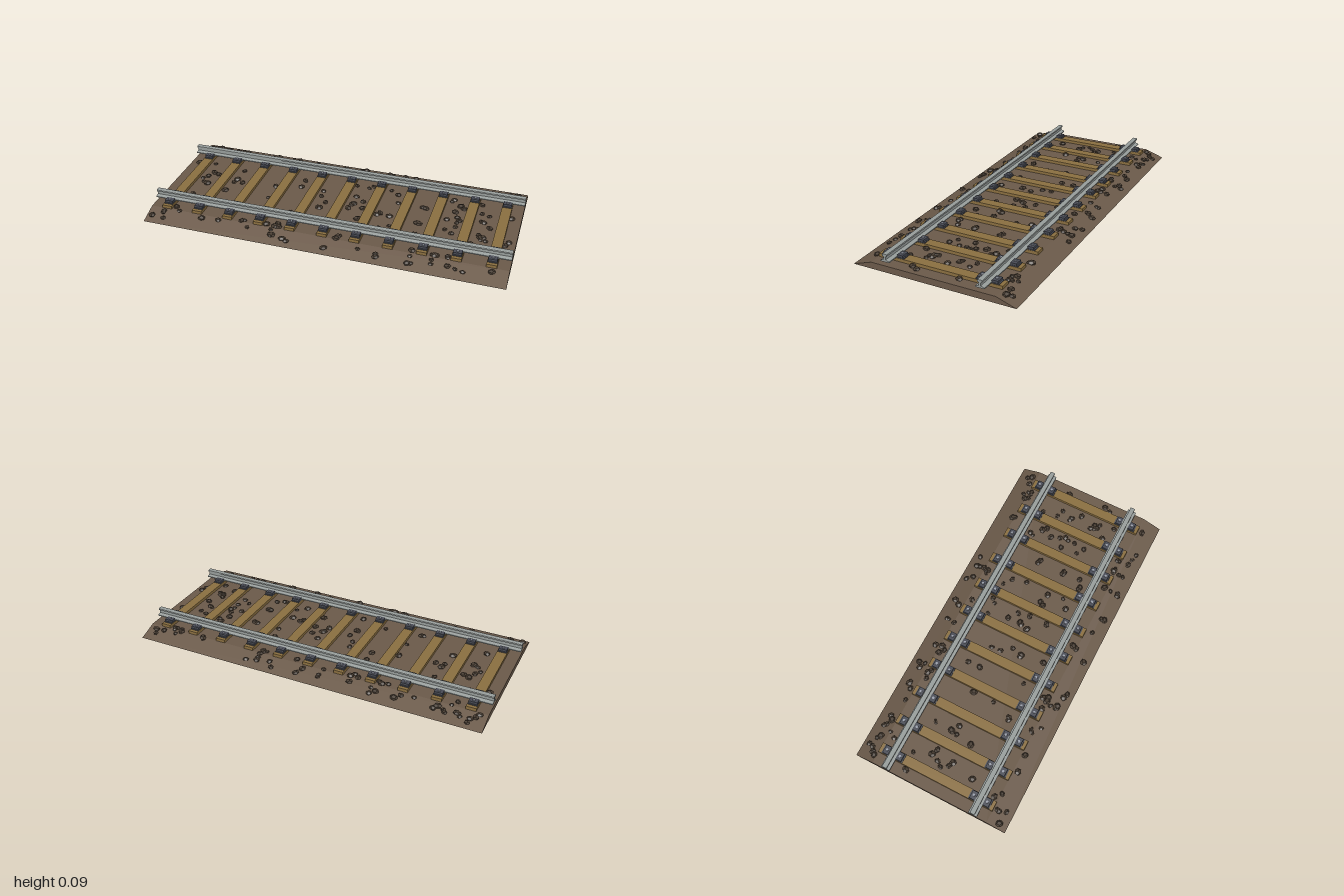
import * as THREE from 'three';
import { mergeGeometries } from 'three/addons/utils/BufferGeometryUtils.js';

const LENGTH = 1.825, BED_HALF = 0.413, TOP_HALF = 0.315, BED_TOP = 0.033;
const RAIL_X = 0.24, SLEEPERS = 11, PITCH = 0.1655;

function material(name, color) {
  const m = new THREE.MeshStandardMaterial({ color });
  m.name = name;
  return m;
}

// small seeded random generator
function seeded(seed) {
  return () => {
    seed = (seed * 1664525 + 1013904223) % 4294967296;
    return seed / 4294967296;
  };
}

// closed outline in x and y, extruded along z and centred
function extrudeProfile(points, length) {
  const shape = new THREE.Shape(points.map(([x, y]) => new THREE.Vector2(x, y)));
  const g = new THREE.ExtrudeGeometry(shape, { depth: length, bevelEnabled: false });
  return g.translate(0, 0, -length / 2);
}

export function createModel() {
  const bedMat = material('earth', 0x6b5a4a);
  const woodMat = material('wood', 0x8a6f40);
  const steelMat = material('railSteel', 0x979d9b);
  const ironMat = material('darkIron', 0x484b55);
  const boltMat = material('boltSteel', 0x9a9fab);
  const stoneMat = material('stone', 0x483d32);

  const model = new THREE.Group();
  const track = new THREE.Group();
  track.name = 'track';
  track.rotation.y = 0.4665;
  model.add(track);

  function add(parent, name, geometry, mat, x = 0, y = 0, z = 0) {
    const mesh = new THREE.Mesh(geometry, mat);
    mesh.name = name;
    mesh.position.set(x, y, z);
    parent.add(mesh);
    return mesh;
  }

  // ballast bed with sloping shoulders
  add(track, 'bed', extrudeProfile([
    [-BED_HALF, 0], [BED_HALF, 0], [TOP_HALF, BED_TOP], [-TOP_HALF, BED_TOP],
  ], LENGTH), bedMat);

  // rails: foot, web and head
  const half = [[0.023, 0], [0.023, 0.005], [0.005, 0.011], [0.005, 0.026], [0.012, 0.029], [0.012, 0.037], [0.009, 0.039]];
  const outline = [...half, ...half.map(([x, y]) => [-x, y]).reverse()];
  const railGeo = extrudeProfile(outline, LENGTH);
  for (const side of [-1, 1]) {
    add(track, side > 0 ? 'leftRail' : 'rightRail', railGeo, steelMat, side * RAIL_X, 0.053, 0);
  }

  // sleepers with a plate, two clamps and bolts under each rail
  const sleeperGeo = new THREE.BoxGeometry(0.63, 0.028, 0.05);
  const plateGeo = new THREE.BoxGeometry(0.115, 0.005, 0.046);
  const clampGeo = new THREE.BoxGeometry(0.03, 0.012, 0.042);
  const boltGeo = new THREE.CylinderGeometry(0.007, 0.007, 0.006, 6);
  for (let i = 0; i < SLEEPERS; i++) {
    const row = new THREE.Group();
    row.name = 'sleeperRow';
    row.position.z = (i - (SLEEPERS - 1) / 2) * PITCH;
    track.add(row);
    add(row, 'sleeper', sleeperGeo, woodMat, 0, 0.035, 0);
    for (const side of [-1, 1]) {
      add(row, 'railPlate', plateGeo, ironMat, side * RAIL_X, 0.0505, 0);
      for (const s of [-1, 1]) {
        const x = side * RAIL_X + s * 0.036;
        add(row, 'clamp', clampGeo, ironMat, x, 0.058, 0);
        add(row, 'bolt', boltGeo, boltMat, x, 0.066, 0);
      }
    }
  }

  // loose stones, skipping the rails and sleepers
  const random = seeded(77);
  const stones = [];
  function stone(x, z) {
    const nearRail = Math.abs(Math.abs(x) - RAIL_X) < 0.035;
    const offset = Math.abs(z / PITCH - Math.round(z / PITCH)) * PITCH;
    const onSleeper = offset < 0.038 && Math.abs(x) < 0.33 && Math.abs(z) < 0.86;
    if (nearRail || onSleeper || Math.abs(x) > 0.385 || Math.abs(z) > 0.89) return;
    const slope = Math.max(0, (Math.abs(x) - TOP_HALF) / (BED_HALF - TOP_HALF));
    const r = 0.012 + random() * 0.008;
    const g = new THREE.DodecahedronGeometry(r, 0);
    g.rotateX(random() * 3).rotateY(random() * 6).scale(1, 0.6, 0.85);
    g.rotateY(random() * 6);
    stones.push(g.translate(x, BED_TOP * (1 - slope) + r * 0.2, z));
  }
  for (let i = 0; i < 290; i++) stone((random() - 0.5) * 0.76, (random() - 0.5) * 1.76);
  // denser heaps on the shoulders
  const heaps = [[-0.33, 0.5], [-0.33, 0.62], [0.3, 0.83], [0.34, 0.2], [0.33, -0.35], [0.34, -0.85], [-0.37, -0.87], [-0.32, -0.3]];
  for (const [hx, hz] of heaps) {
    for (let i = 0; i < 7; i++) stone(hx + (random() - 0.5) * 0.09, hz + (random() - 0.5) * 0.16);
  }
  add(track, 'stones', mergeGeometries(stones), stoneMat);

  return model;
}
